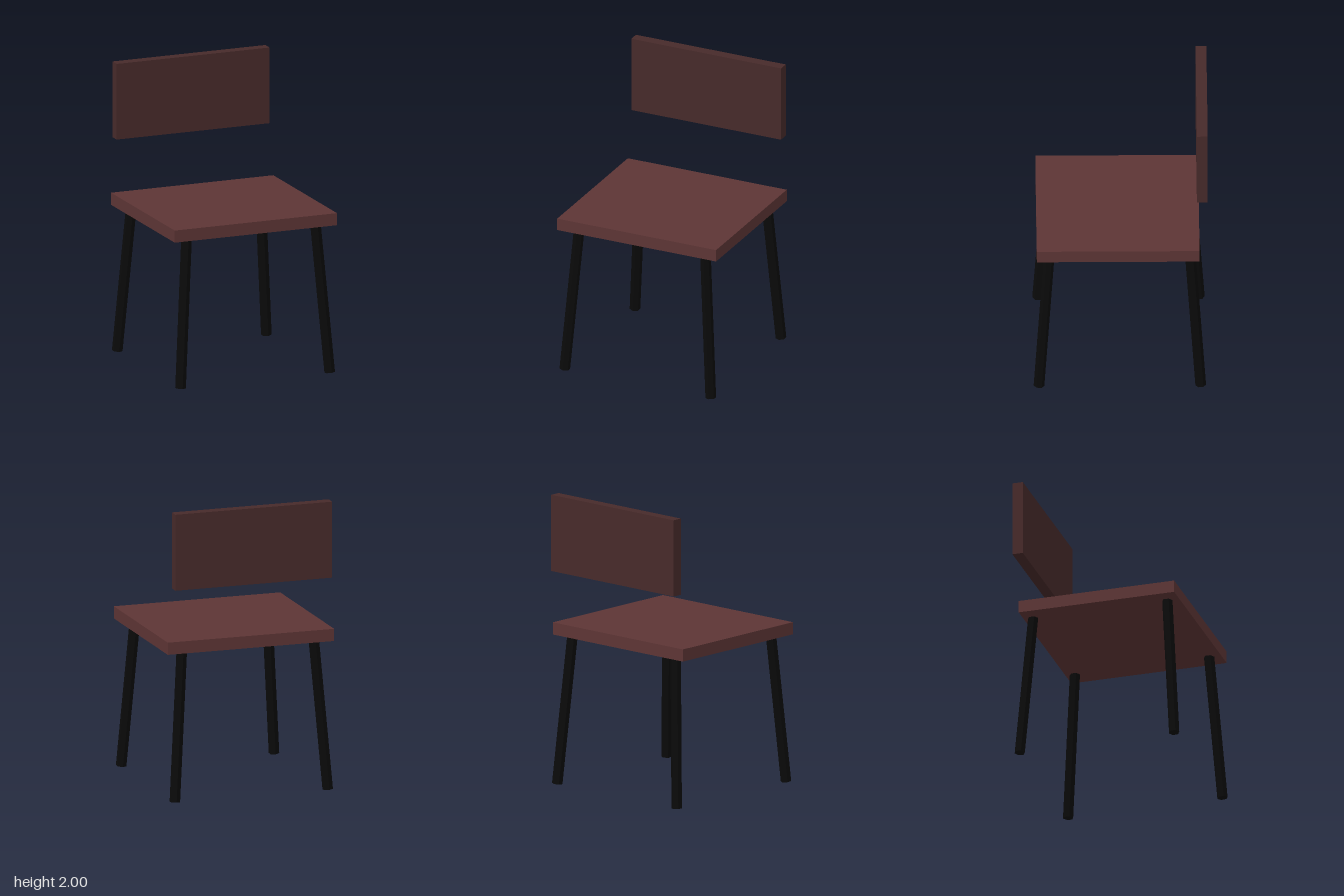
import * as THREE from 'three';

const mat = (color) => new THREE.MeshStandardMaterial({ color, flatShading: true });

export function createModel() {
  const model = new THREE.Group();
  model.name = 'chair';

  const seatMat = mat(0x5d3535);
  const backMat = mat(0x472a2a);
  const legMat = mat(0x0a0a0a);

  // Box given by its minimum and maximum corners
  const slab = (name, material, min, max) => {
    const size = max.map((v, i) => v - min[i]);
    const mesh = new THREE.Mesh(new THREE.BoxGeometry(...size), material);
    mesh.position.set(...max.map((v, i) => (v + min[i]) / 2));
    mesh.name = name;
    model.add(mesh);
  };

  // Seat and floating backrest panel
  slab('seat', seatMat, [-0.594, 1.022, -0.53], [0.59, 1.106, 0.563]);
  slab('backrest', backMat, [-0.56, 1.475, -0.585], [0.556, 2, -0.512]);

  // Splayed six-sided legs, running from the floor into the seat
  const up = new THREE.Vector3(0, 1, 0);
  const legGeometry = (length) => new THREE.CylinderGeometry(0.036, 0.036, length, 6);
  for (const sx of [-1, 1]) {
    for (const sz of [-1, 1]) {
      const foot = new THREE.Vector3(sx * 0.544 - 0.001, 0.004, sz * 0.543 + 0.005);
      const top = new THREE.Vector3(sx * 0.469 - 0.001, 1.04, sz * 0.471 + 0.005);
      const axis = top.clone().sub(foot);
      const leg = new THREE.Mesh(legGeometry(axis.length()), legMat);
      leg.position.addVectors(foot, top).multiplyScalar(0.5);
      leg.quaternion.setFromUnitVectors(up, axis.normalize());
      leg.name = (sz > 0 ? 'front' : 'back') + (sx > 0 ? 'Left' : 'Right') + 'Leg';
      model.add(leg);
    }
  }

  return model;
}
